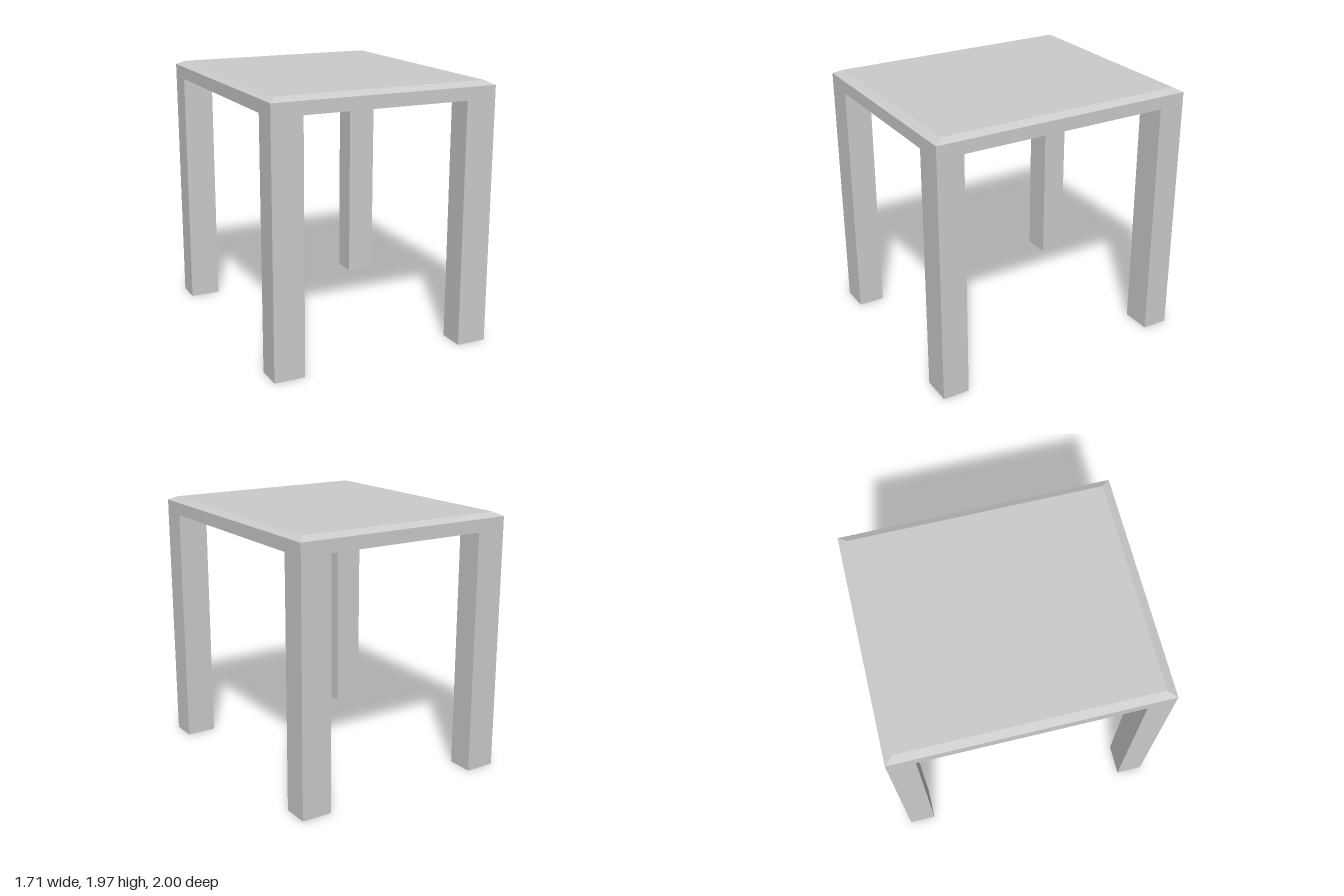
import * as THREE from 'three';

const HALF_X = 0.855, HALF_Z = 1;                        // table footprint
const UNDERSIDE = 1.84, RIM = 1.935, TOP = 1.965;        // slab heights
const BEVEL_X = 0.055, BEVEL_Z = 0.065;                  // inset of the top face
const LEG_X = 0.23, LEG_Z = 0.2;                         // leg section

const material = new THREE.MeshStandardMaterial({ color: 0xcccccc, flatShading: true });

// Slab with a sloping bevel: a box with two height rows, its top row drawn in
function tabletopGeometry() {
  const box = new THREE.BoxGeometry(2 * HALF_X, 2, 2 * HALF_Z, 1, 2, 1);
  const p = box.attributes.position;
  for (let i = 0; i < p.count; i++) {
    const y = p.getY(i);
    if (y > 0.5) {
      p.setXYZ(i, Math.sign(p.getX(i)) * (HALF_X - BEVEL_X), TOP, Math.sign(p.getZ(i)) * (HALF_Z - BEVEL_Z));
    } else {
      p.setY(i, y < -0.5 ? UNDERSIDE : RIM);
    }
  }
  const flat = box.toNonIndexed();
  flat.computeVertexNormals();
  return flat;
}

export function createModel() {
  const table = new THREE.Group();
  table.name = 'table';

  const tabletop = new THREE.Mesh(tabletopGeometry(), material);
  tabletop.name = 'tabletop';
  table.add(tabletop);

  // Four legs, flush with the corners of the slab
  const legGeometry = new THREE.BoxGeometry(LEG_X, UNDERSIDE, LEG_Z);
  for (const [sideName, sx] of [['Left', 1], ['Right', -1]]) {
    for (const [endName, sz] of [['front', 1], ['back', -1]]) {
      const leg = new THREE.Mesh(legGeometry, material);
      leg.name = `${endName}${sideName}Leg`;
      leg.position.set(sx * (HALF_X - LEG_X / 2), UNDERSIDE / 2, sz * (HALF_Z - LEG_Z / 2));
      table.add(leg);
    }
  }
  return table;
}
